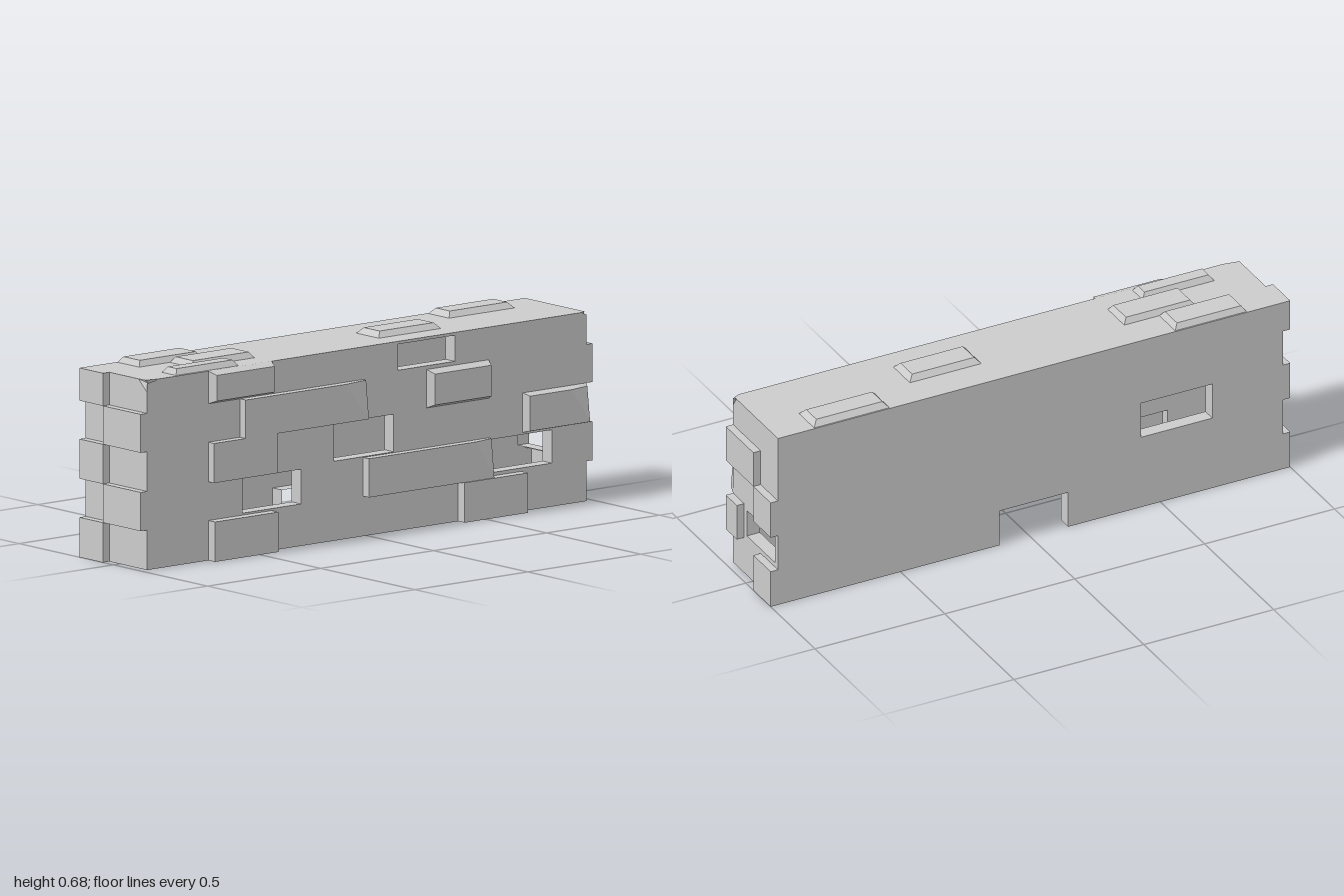
import * as THREE from 'three';

const X = 0.972, Y = 0.655, ZF = 0.145, ZB = -0.18;
const ROW = [0, 0.138, 0.272, 0.409, 0.542, Y];

// Each wall maps (u across, v up, h outwards) to x, y, z
const WALLS = {
  frontWall: { map: (u, v, h) => [u, v, ZF + h], box: [-X, X, 0, Y] },
  backWall: { map: (u, v, h) => [-u, v, ZB - h], box: [-X, X, 0, Y] },
  leftEnd: { map: (u, v, h) => [X + h, v, -u], box: [-ZF, -ZB, 0, Y] },
  rightEnd: { map: (u, v, h) => [-X - h, v, u], box: [ZB, ZF, 0, Y] },
  topFace: { map: (u, v, h) => [u, Y + h, -v], box: [-X, X, -ZF, -ZB] },
};

// Cut-off sizes (x, y, z) of the two upper front corners
const CORNERS = [
  { s: -1, cut: [0.06, 0.04, 0.045] },
  { s: 1, cut: [0.02, 0.035, 0.025] },
];

const material = new THREE.MeshStandardMaterial({ color: 0xcccccc, side: THREE.DoubleSide, flatShading: true });

function meshOf(name, points) {
  const g = new THREE.BufferGeometry();
  g.setAttribute('position', new THREE.Float32BufferAttribute(points.flat(), 3));
  g.computeVertexNormals();
  const mesh = new THREE.Mesh(g, material);
  mesh.name = name;
  return mesh;
}

// Thin wall as a grid of cells, left open under every brick and recess
function panel(name, wall, cuts) {
  const [u0, u1, v0, v1] = wall.box;
  const us = [u0, u1], vs = [v0, v1];
  for (const c of cuts) { us.push(c[0], c[1]); vs.push(c[2], c[3]); }
  // extra grid lines where the corners are cut
  for (const { s, cut } of CORNERS) {
    const x = s * (X - cut[0]), y = Y - cut[1], z = ZF - cut[2];
    if (name === 'frontWall') { us.push(x); vs.push(y); }
    if (name === 'topFace') { us.push(x); vs.push(-z); }
    if (name === 'leftEnd' && s > 0) { us.push(-z); vs.push(y); }
    if (name === 'rightEnd' && s < 0) { us.push(z); vs.push(y); }
  }
  const tidy = (list, lo, hi) => [...new Set(list)].filter((n) => n >= lo && n <= hi).sort((a, b) => a - b);
  const U = tidy(us, u0, u1), V = tidy(vs, v0, v1), pts = [];
  const at = (u, v) => {
    const p = wall.map(u, v, 0);
    for (const { s, cut } of CORNERS) {
      const hit = Math.abs(p[0] - s * X) + Math.abs(p[1] - Y) + Math.abs(p[2] - ZF) < 1e-6;
      if (hit) return [p[0] - s * cut[0] / 3, p[1] - cut[1] / 3, p[2] - cut[2] / 3];
    }
    return p;
  };
  for (let i = 0; i < U.length - 1; i++) {
    for (let j = 0; j < V.length - 1; j++) {
      const cu = (U[i] + U[i + 1]) / 2, cv = (V[j] + V[j + 1]) / 2;
      if (cuts.some((c) => cu > c[0] && cu < c[1] && cv > c[2] && cv < c[3])) continue;
      const a = at(U[i], V[j]), b = at(U[i + 1], V[j]);
      const c = at(U[i + 1], V[j + 1]), d = at(U[i], V[j + 1]);
      // split each cell across the panel corner it is nearest to
      if ((cu - (u0 + u1) / 2) * (cv - (v0 + v1) / 2) > 0) pts.push(a, b, d, b, c, d);
      else pts.push(a, b, c, a, c, d);
    }
  }
  return meshOf(name, pts);
}

// Raised brick with sloping sides and an optional chipped upper end
function brick(name, wall, [u0, u1, v0, v1, h, inset = 0, chip = 0]) {
  const a = u0 + inset, b = u1 - inset, c = v0 + (v0 === 0 ? 0 : inset), d = v1 - inset;
  const k = Math.max(chip, 0.01), P = wall.map, pts = [];
  const top = [P(a, c, h), P(b, c, h), P(b, d, chip ? h * 0.5 : h), P(b - k, d, h), P(a, d, h)];
  const base = [P(u0, v0, 0), P(u1, v0, 0), P(u1, v1, 0), P(b - k, v1, 0), P(u0, v1, 0)];
  pts.push(top[0], top[1], top[3], top[0], top[3], top[4], top[1], top[2], top[3]);
  for (let i = v0 === 0 ? 1 : 0; i < 5; i++) {
    const j = (i + 1) % 5;
    pts.push(base[i], base[j], top[j], base[i], top[j], top[i]);
  }
  return meshOf(name, pts);
}

// Missing brick: an opening lined by short side walls
function recess(name, wall, [u0, u1, v0, v1]) {
  const ring = [[u0, v0], [u1, v0], [u1, v1], [u0, v1]], pts = [], depth = -0.05;
  for (let i = v0 === 0 ? 1 : 0; i < 4; i++) {
    const p = ring[i], q = ring[(i + 1) % 4];
    const a = wall.map(...p, 0), b = wall.map(...q, 0), c = wall.map(...q, depth), d = wall.map(...p, depth);
    pts.push(a, c, b, a, d, c);
  }
  return meshOf(name, pts);
}

// Brick in a course: u range, course, height, inset, chip
const course = (u0, u1, r, h, inset, chip) => [u0, u1, ROW[r], ROW[r + 1], h, inset, chip];

const BRICKS = {
  frontWall: [
    course(-0.7, -0.42, 4, 0.03, 0.012),
    course(-0.56, -0.015, 3, 0.03, 0, 0.1),
    course(0.265, 0.54, 3, 0.03, 0.013),
    course(-0.7, -0.42, 2, 0.03),
    course(0.69, X, 2, 0.03, 0.008, 0.08),
    course(-0.015, 0.54, 1, 0.03, 0, 0.08),
    course(-0.7, -0.42, 0, 0.035),
    course(0.405, 0.685, 0, 0.035),
  ],
  backWall: [],
  leftEnd: [
    course(-ZF, 0.055, 3, 0.028),
    course(0.055, -ZB, 2, 0.028),
    course(-ZF, -0.065, 1, 0.028),
    course(0.055, -ZB, 0, 0.028),
  ],
  rightEnd: [0, 1, 2, 3, 4].map((r) => (r % 2
    ? course(-0.055, ZF, r, 0.028) : course(ZB, -0.055, r, 0.028))),
  topFace: [
    [0.125, 0.4, -0.06, 0.06, 0.02, 0.018],
    [0.54, 0.83, 0.065, 0.175, 0.02, 0.018],
    [-0.835, -0.56, 0.06, 0.175, 0.02, 0.014],
    [-0.7, -0.425, -0.06, 0.06, 0.02, 0.014],
    [-0.835, -0.56, -0.135, -0.06, 0.02, 0.014],
  ],
};

const RECESSES = {
  frontWall: [
    [0.138, 0.39, 0.555, 0.645],
    [-0.145, 0.12, 0.275, 0.405],
    [-0.55, -0.29, 0.145, 0.265],
    [0.55, 0.82, 0.15, 0.265],
  ],
  backWall: [[0.425, 0.7, 0.275, 0.409], [-0.12, 0.145, 0, 0.135]],
  leftEnd: [[-0.045, 0.16, 0.155, 0.255]],
  rightEnd: [],
  topFace: [],
};

export function createModel() {
  const model = new THREE.Group();
  model.name = 'brickWallSection';
  for (const [name, wall] of Object.entries(WALLS)) {
    const part = new THREE.Group();
    part.name = name + 'Group';
    part.add(panel(name, wall, [...BRICKS[name], ...RECESSES[name]]));
    BRICKS[name].forEach((b, i) => part.add(brick(`${name}Brick${i + 1}`, wall, b)));
    RECESSES[name].forEach((r, i) => part.add(recess(`${name}Recess${i + 1}`, wall, r)));
    model.add(part);
  }
  return model;
}
